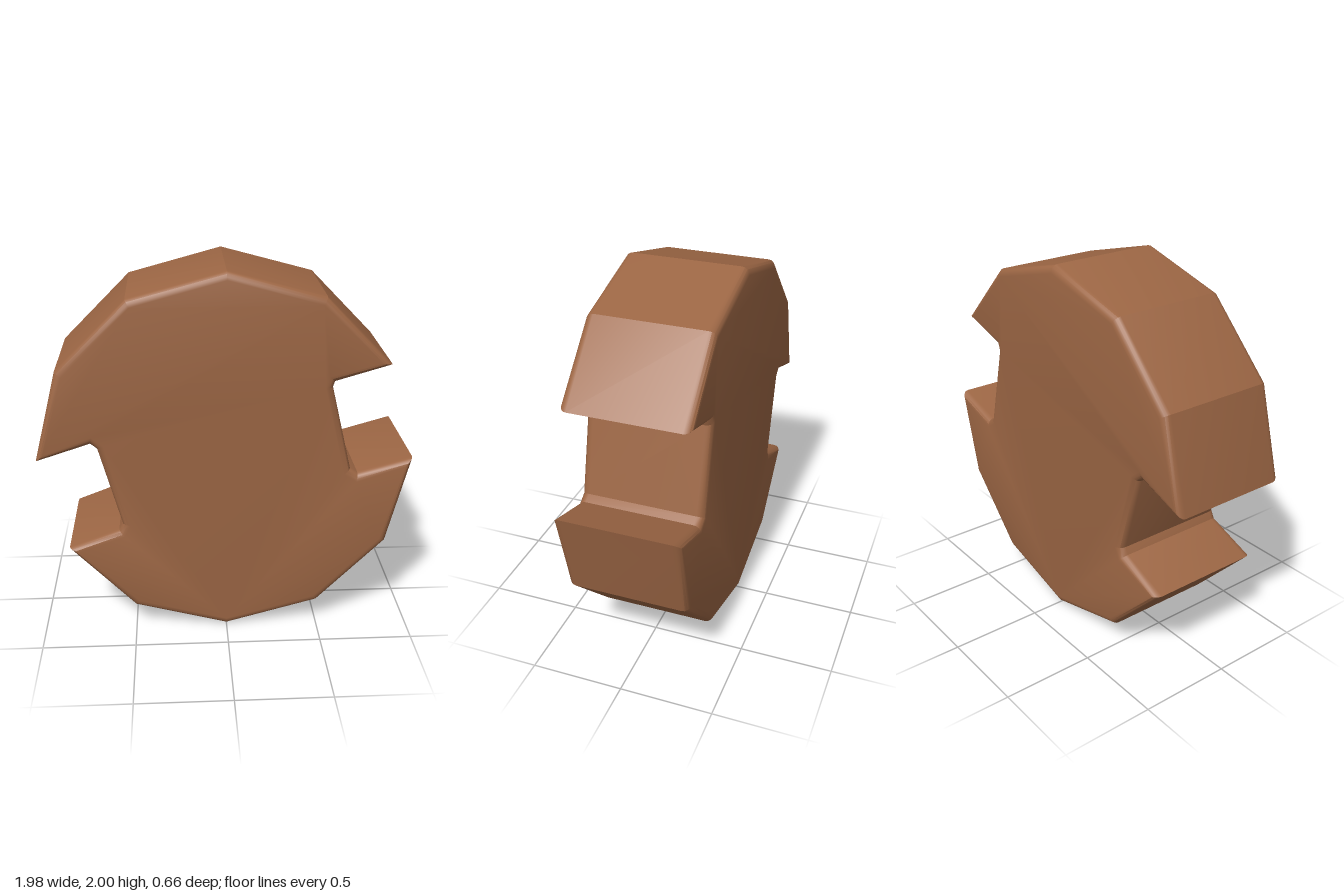
import * as THREE from 'three';
import { toCreasedNormals } from 'three/addons/utils/BufferGeometryUtils.js';

export function createModel() {
  const model = new THREE.Group();
  const material = new THREE.MeshStandardMaterial({ color: 0x9c6644 });
  const halfDepth = 0.33, bevel = 0.04;

  // Twelve-sided disc outline with a notch cut into each side
  const outline = [
    [0, 0.005], [0.5, 0.14], [0.865, 0.505], [0.985, 0.993],
    [0.695, 0.912], [0.655, 0.938], [0.545, 1.395], [0.555, 1.425], // right notch
    [0.845, 1.51], [0.5, 1.865], [0, 2], [-0.5, 1.865], [-0.865, 1.5],
    [-0.99, 1.015],
    [-0.705, 1.107], [-0.672, 1.08], [-0.556, 0.645], [-0.575, 0.607], // left notch
    [-0.845, 0.502], [-0.5, 0.14],
  ].map(([x, y]) => new THREE.Vector2(x, y));

  // Thick body with rounded rims on both faces
  const body = new THREE.ExtrudeGeometry(new THREE.Shape(outline), {
    depth: 2 * (halfDepth - bevel),
    bevelThickness: bevel,
    bevelSize: bevel,
    bevelOffset: -bevel,
    bevelSegments: 4,
  });
  body.translate(0, 0, bevel - halfDepth);

  // Smooth the rims, keep the facets sharp
  const mesh = new THREE.Mesh(toCreasedNormals(body, THREE.MathUtils.degToRad(26)), material);
  mesh.name = 'notchedDisc';
  model.add(mesh);
  return model;
}
